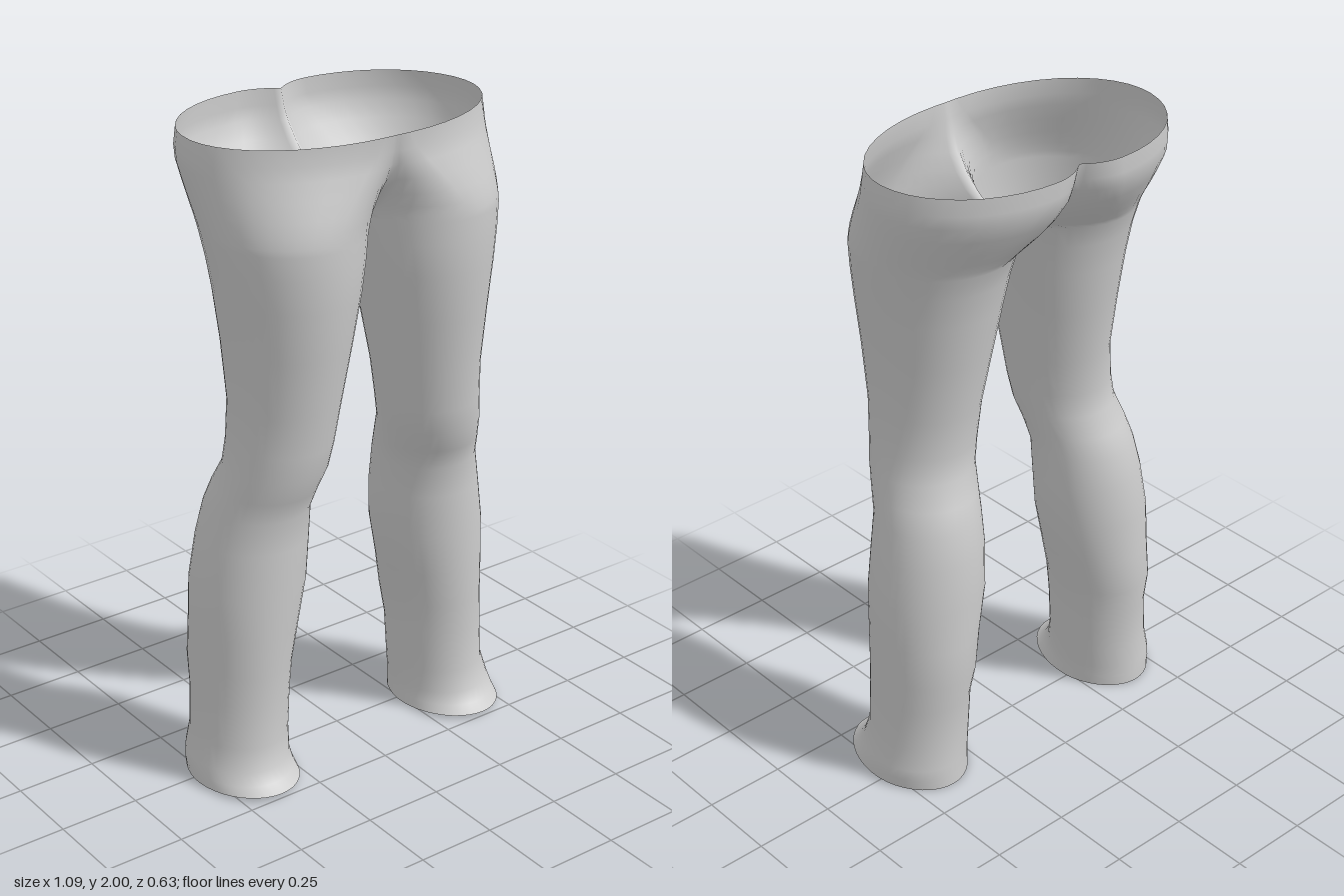
import * as THREE from 'three';
import { mergeVertices } from 'three/addons/utils/BufferGeometryUtils.js';

const QUARTER = 10; // segments per quarter of a ring
const TAU4 = Math.PI / 2;

// Leg rings: height, inner x, outer x, front z, back z
const LEG = [
  [0, 0.235, 0.545, 0.25, -0.165],
  [0.035, 0.238, 0.545, 0.215, -0.163],
  [0.07, 0.24, 0.54, 0.19, -0.16],
  [0.14, 0.235, 0.523, 0.172, -0.155],
  [0.28, 0.226, 0.517, 0.17, -0.157],
  [0.38, 0.215, 0.515, 0.175, -0.177],
  [0.5, 0.192, 0.513, 0.18, -0.171],
  [0.64, 0.163, 0.51, 0.185, -0.17],
  [0.78, 0.156, 0.488, 0.186, -0.158],
  [0.88, 0.155, 0.468, 0.188, -0.138],
  [0.95, 0.146, 0.452, 0.215, -0.114],
  [1.02, 0.13, 0.435, 0.24, -0.08],
  [1.1, 0.115, 0.425, 0.252, -0.075],
  [1.22, 0.098, 0.416, 0.268, -0.083],
  [1.4, 0.066, 0.426, 0.295, -0.115],
  [1.55, 0.036, 0.443, 0.312, -0.14],
  [1.65, 0.017, 0.457, 0.316, -0.16],
  [1.72, 0.004, 0.467, 0.315, -0.182],
];

// Hip rings: height, outer x, front z, back z, x of front peak, x of back peak,
// then z of the centre seam at the front and the back
const HIP = [
  [1.74, 0.469, 0.314, -0.195, 0.23, 0.22, 0.1, 0.02],
  [1.77, 0.472, 0.311, -0.217, 0.215, 0.2, 0.145, -0.07],
  [1.81, 0.476, 0.304, -0.248, 0.19, 0.175, 0.19, -0.14],
  [1.86, 0.481, 0.293, -0.282, 0.15, 0.15, 0.235, -0.195],
  [1.91, 0.486, 0.283, -0.31, 0.105, 0.135, 0.26, -0.235],
  [1.95, 0.488, 0.276, -0.314, 0.07, 0.125, 0.27, -0.255],
  [2, 0.48, 0.28, -0.316, 0.04, 0.12, 0.28, -0.27],
];

// Inner quarter: s runs 0 (front or back peak) to 1 (inside of the leg)
function innerPoint(s, xc, xin, zm, zPeak, zSeam) {
  if (zSeam === undefined) {
    const a = s * TAU4;
    return [xc - (xc - xin) * Math.sin(a), zm + (zPeak - zm) * Math.cos(a)];
  }
  // Above the crotch the ring stops at the centre plane
  const k = Math.min(0.995, (zSeam - zm) / (zPeak - zm));
  const aMax = Math.acos(k), split = 0.7;
  if (s < split - 1e-6) {
    const a = (aMax * s) / split;
    return [xc * (1 - Math.sin(a) / Math.sin(aMax)), zm + (zPeak - zm) * Math.cos(a)];
  }
  return [0, zm + (zSeam - zm) * (1 - (s - split) / (1 - split))];
}

function makeRing(y, xin, xout, zf, zb, xf, xb, seamF, seamB) {
  const zm = (zf + zb) / 2, ring = [];
  for (let j = 0; j < QUARTER * 4; j++) {
    const q = Math.floor(j / QUARTER), s = (j % QUARTER) / QUARTER, a = s * TAU4;
    let p;
    if (q === 0) p = [xf + (xout - xf) * Math.cos(a), zm + (zf - zm) * Math.sin(a)];
    else if (q === 1) p = innerPoint(s, xf, xin, zm, zf, seamF);
    else if (q === 2) p = innerPoint(1 - s, xb, xin, zm, zb, seamB);
    else p = [xb + (xout - xb) * Math.sin(a), zm + (zb - zm) * Math.cos(a)];
    // The hem lifts slightly at the toe
    const lift = y === 0 ? 0.06 * Math.max(0, p[1]) : 0;
    ring.push(new THREE.Vector3(p[0], y + lift, p[1]));
  }
  return ring;
}

function makeTrousers() {
  const rings = [
    ...LEG.map(([y, xi, xo, zf, zb]) => makeRing(y, xi, xo, zf, zb, (xi + xo) / 2, (xi + xo) / 2)),
    ...HIP.map(([y, xo, zf, zb, xf, xb, sf, sb]) => makeRing(y, 0, xo, zf, zb, xf, xb, sf, sb)),
  ];
  const pos = [];
  // Each triangle is added with its mirror image; none may lie in the centre plane
  const addTriangle = (a, b, c) => {
    if (Math.max(a.x, b.x, c.x) < 1e-6) return;
    for (const p of [a, b, c]) pos.push(p.x, p.y, p.z);
    for (const p of [a, c, b]) pos.push(p.x === 0 ? 0 : -p.x, p.y, p.z);
  };
  const n = QUARTER * 4;
  for (let i = 0; i < rings.length - 1; i++) {
    for (let j = 0; j < n; j++) {
      const k = (j + 1) % n, lo = rings[i], hi = rings[i + 1];
      addTriangle(lo[j], hi[j], lo[k]);
      addTriangle(lo[k], hi[j], hi[k]);
    }
  }
  const geometry = new THREE.BufferGeometry();
  geometry.setAttribute('position', new THREE.Float32BufferAttribute(pos, 3));
  const merged = mergeVertices(geometry, 1e-5);
  merged.computeVertexNormals();
  return merged;
}

export function createModel() {
  const fabric = new THREE.MeshStandardMaterial({ color: 0xcccccc, side: THREE.DoubleSide });
  fabric.name = 'light grey fabric';

  // One open shell: two legs joined at the crotch, open at waist and hems
  const trousers = new THREE.Mesh(makeTrousers(), fabric);
  trousers.name = 'trousers';

  const model = new THREE.Group();
  model.name = 'pairOfTrousers';
  model.add(trousers);
  return model;
}
